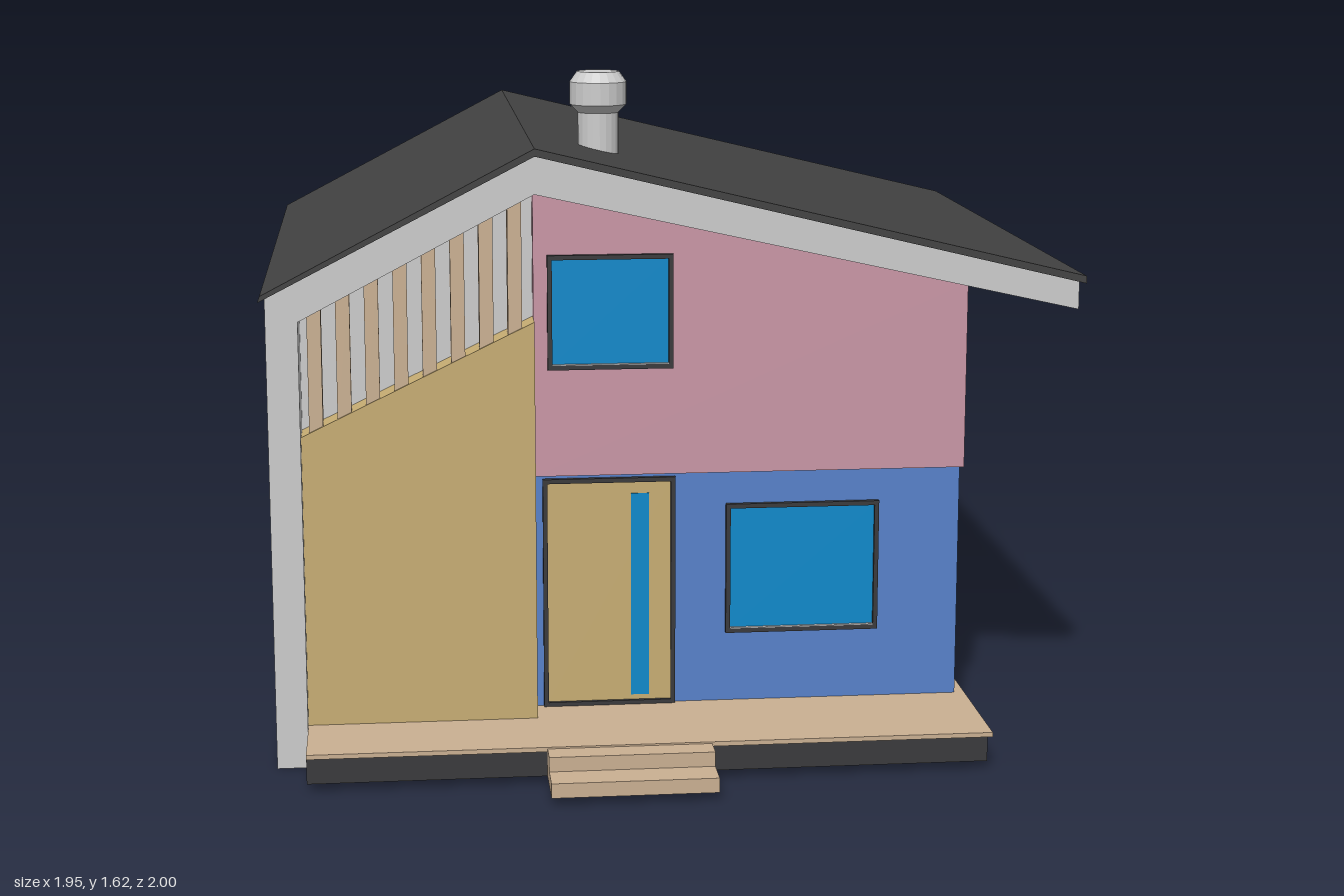
import * as THREE from 'three';

const mat = (name, color) => {
  const m = new THREE.MeshStandardMaterial({ color });
  m.name = name;
  return m;
};

export function createModel() {
  const house = new THREE.Group();
  house.name = 'house';
  const M = {
    white: mat('pale grey', 0xcdcdcd),
    roof: mat('roof charcoal', 0x424242),
    dark: mat('frame charcoal', 0x3a3a3c),
    pink: mat('pink cladding', 0xca97a7),
    blue: mat('blue cladding', 0x5882cb),
    glass: mat('glass blue', 0x0e8acc),
    tan: mat('tan panel', 0xc8ae74),
    wood: mat('light wood', 0xcbb193),
  };

  const add = (name, geo, material, parent = house) => {
    const mesh = new THREE.Mesh(geo, material);
    mesh.name = name;
    parent.add(mesh);
    return mesh;
  };
  const box = (name, material, x0, x1, y0, y1, z0, z1, parent) => {
    const geo = new THREE.BoxGeometry(x1 - x0, y1 - y0, z1 - z0);
    geo.translate((x0 + x1) / 2, (y0 + y1) / 2, (z0 + z1) / 2);
    return add(name, geo, material, parent);
  };
  const shapeOf = (pts) => new THREE.Shape(pts.map((p) => new THREE.Vector2(...p)));
  const prism = (name, material, pts, z0, z1, parent) => {
    const geo = new THREE.ExtrudeGeometry(shapeOf(pts), { depth: z1 - z0, bevelEnabled: false });
    geo.translate(0, 0, z0);
    return add(name, geo, material, parent);
  };

  // Height of the ceiling under the asymmetric gable
  const ridgeX = -0.335;
  const ceiling = (x) => (x < ridgeX ? 1.37 + (x - ridgeX) * 0.527 : 1.37 - (x - ridgeX) * 0.224);

  // Roof skin and the pale shell that folds down into the side wall
  prism('roof', M.roof, [[-0.975, 1.13], [-0.97, 1.145], [ridgeX, 1.478], [0.972, 1.163],
    [0.972, 1.145], [ridgeX, 1.46]], -1, 0.7);
  prism('roofShell', M.white, [[-0.96, 0], [-0.885, 0], [-0.885, ceiling(-0.885)], [ridgeX, 1.37],
    [0.96, 1.08], [0.96, 1.147], [ridgeX, 1.46], [-0.96, 1.135]], -0.98, 0.68);

  // Deck and steps
  box('deckBase', M.dark, -0.885, 0.725, 0.02, 0.083, -0.91, 0.85);
  box('deckBoards', M.wood, -0.885, 0.735, 0.083, 0.094, -0.925, 0.86);
  box('upperStep', M.wood, -0.325, 0.063, 0.02, 0.09, 0.85, 0.92);
  box('lowerStep', M.wood, -0.325, 0.063, 0.02, 0.055, 0.92, 1);

  // Storeys
  box('groundFloor', M.blue, -0.885, 0.71, 0.09, 0.68, -0.918, 0.55);
  prism('upperFloor', M.pink, [[-0.885, 0.68], [0.712, 0.68], [0.712, ceiling(0.712)],
    [ridgeX, 1.37], [-0.885, ceiling(-0.885)]], -0.92, 0.55);
  prism('upperFloorFront', M.pink, [[ridgeX, 0.68], [0.712, 0.68], [0.712, ceiling(0.712)],
    [ridgeX, 1.37]], 0.55, 0.59);

  // Entrance screen: sloped panel, slats and pale backing
  prism('screenPanel', M.tan, [[-0.885, 0.09], [ridgeX, 0.09], [ridgeX, 1.065], [-0.885, 0.8]], 0.55, 0.645);
  prism('screenBacking', M.white, [[-0.885, 0.78], [ridgeX, 1.04], [ridgeX, 1.37],
    [-0.885, ceiling(-0.885)]], 0.55, 0.558);
  const screenTop = (x) => 0.79 + (x + 0.885) * 0.482;
  for (let i = 0; i < 8; i++) {
    const a = -0.866 + i * 0.067, b = a + 0.033;
    prism('screenSlat', M.wood, [[a, screenTop(a)], [b, screenTop(b)], [b, ceiling(b)], [a, ceiling(a)]], 0.595, 0.64);
  }

  // Upright battens on the right-hand wall
  for (const z of [0.34, 0.275, 0.21]) {
    box('wallBatten', M.wood, 0.71, 0.73, 0.09, 1.132, z, z + 0.037);
  }

  // Framed opening, built facing +z and then placed on its wall
  const framed = (name, fill, w, h, x, y, z, turn, sill = true) => {
    const g = new THREE.Group();
    g.name = name;
    const t = 0.011, W = w / 2, H = h / 2;
    const rect = (a, b) => [[-a, -b], [a, -b], [a, b], [-a, b]];
    const outline = shapeOf(rect(W, H));
    outline.holes.push(shapeOf(rect(W - t, H - t)));
    add('frame', new THREE.ExtrudeGeometry(outline, { depth: 0.012, bevelEnabled: false }), M.dark, g);
    box('pane', fill, -W + t, W - t, -H + t, H - t, -0.002, 0.003, g);
    if (sill) box('sill', M.white, -W + t, W - t, -H + t, -H + t + 0.002, 0.003, 0.012, g);
    g.position.set(x, y, z);
    g.rotation.y = turn;
    house.add(g);
    return g;
  };

  // Front openings
  framed('upperFrontWindow', M.glass, 0.3, 0.275, -0.152, 1.078, 0.59, 0);
  framed('lowerFrontWindow', M.glass, 0.377, 0.325, 0.321, 0.431, 0.55, 0);
  const door = framed('frontDoor', M.tan, 0.322, 0.572, -0.153, 0.379, 0.55, 0, false);
  box('doorGlass', M.glass, 0.053, 0.097, -0.262, 0.246, 0.002, 0.006, door);

  // Back openings
  framed('upperBackWindow', M.glass, 0.29, 0.27, -0.2, 1.08, -0.92, Math.PI);
  framed('lowerBackWindow', M.glass, 0.33, 0.32, -0.595, 0.365, -0.918, Math.PI);

  // Window wrapping the back corner, with a dark corner post
  framed('cornerWindowSide', M.glass, 0.45, 0.435, 0.71, 0.387, -0.683, Math.PI / 2, false);
  framed('cornerWindowBack', M.glass, 0.43, 0.435, 0.497, 0.387, -0.918, Math.PI, false);
  box('cornerPost', M.dark, 0.685, 0.723, 0.17, 0.604, -0.928, -0.868);

  // Chimney flue with chamfered cap
  const profile = [[0.05, 1.38], [0.05, 1.525], [0.07, 1.545], [0.07, 1.6], [0.052, 1.625], [0, 1.625]];
  let flue = new THREE.LatheGeometry(profile.map((p) => new THREE.Vector2(...p)), 20).toNonIndexed();
  flue.computeVertexNormals();
  add('chimney', flue, M.white).position.set(-0.155, 0, 0.29);

  return house;
}
